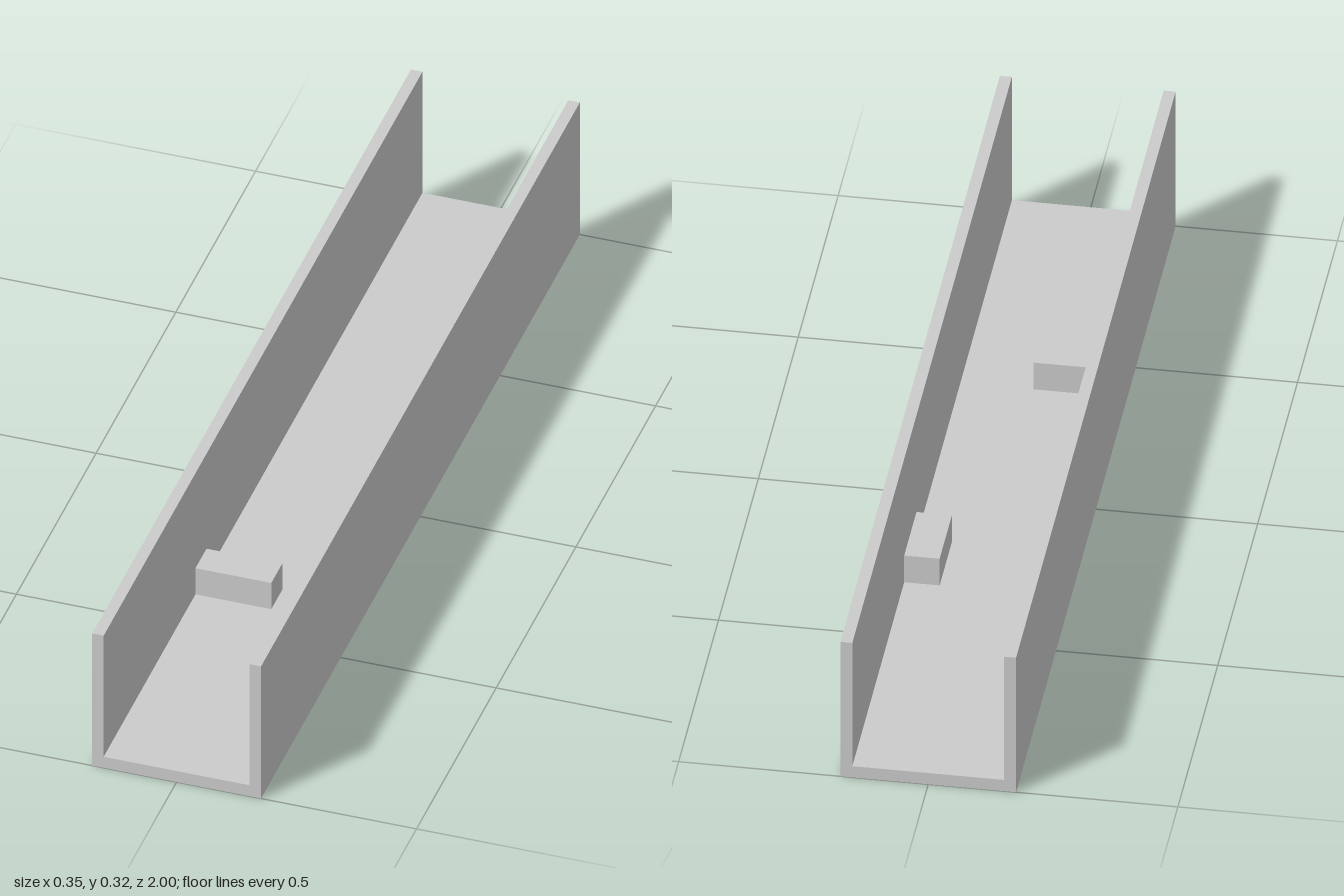
import * as THREE from 'three';

const LENGTH = 2, HALF = 0.176, INNER = 0.152, HEIGHT = 0.323, FLOOR = 0.027, BLOCK_TOP = 0.091;

export function createModel() {
  const group = new THREE.Group();
  const material = new THREE.MeshStandardMaterial({ color: 0xcccccc });

  const add = (name, geometry) => {
    const mesh = new THREE.Mesh(geometry, material);
    mesh.name = name;
    group.add(mesh);
    return mesh;
  };

  // U-shaped channel, open at the top and at both ends
  const profile = new THREE.Shape([
    [-HALF, 0], [HALF, 0], [HALF, HEIGHT], [INNER, HEIGHT],
    [INNER, FLOOR], [-INNER, FLOOR], [-INNER, HEIGHT], [-HALF, HEIGHT],
  ].map(([x, y]) => new THREE.Vector2(x, y)));
  const channel = new THREE.ExtrudeGeometry(profile, { depth: LENGTH, bevelEnabled: false });
  add('channel', channel.translate(0, 0, -LENGTH / 2));

  // Blocks standing on the floor against the side walls
  const addBlock = (name, x0, x1, z0, z1) => {
    const block = add(name, new THREE.BoxGeometry(x1 - x0, BLOCK_TOP - FLOOR, z1 - z0));
    block.position.set((x0 + x1) / 2, (FLOOR + BLOCK_TOP) / 2, (z0 + z1) / 2);
  };
  addBlock('rightBlock', -INNER, 0.006, 0.355, 0.424);
  addBlock('leftBlock', 0.081, INNER, -0.35, -0.196);

  return group;
}
